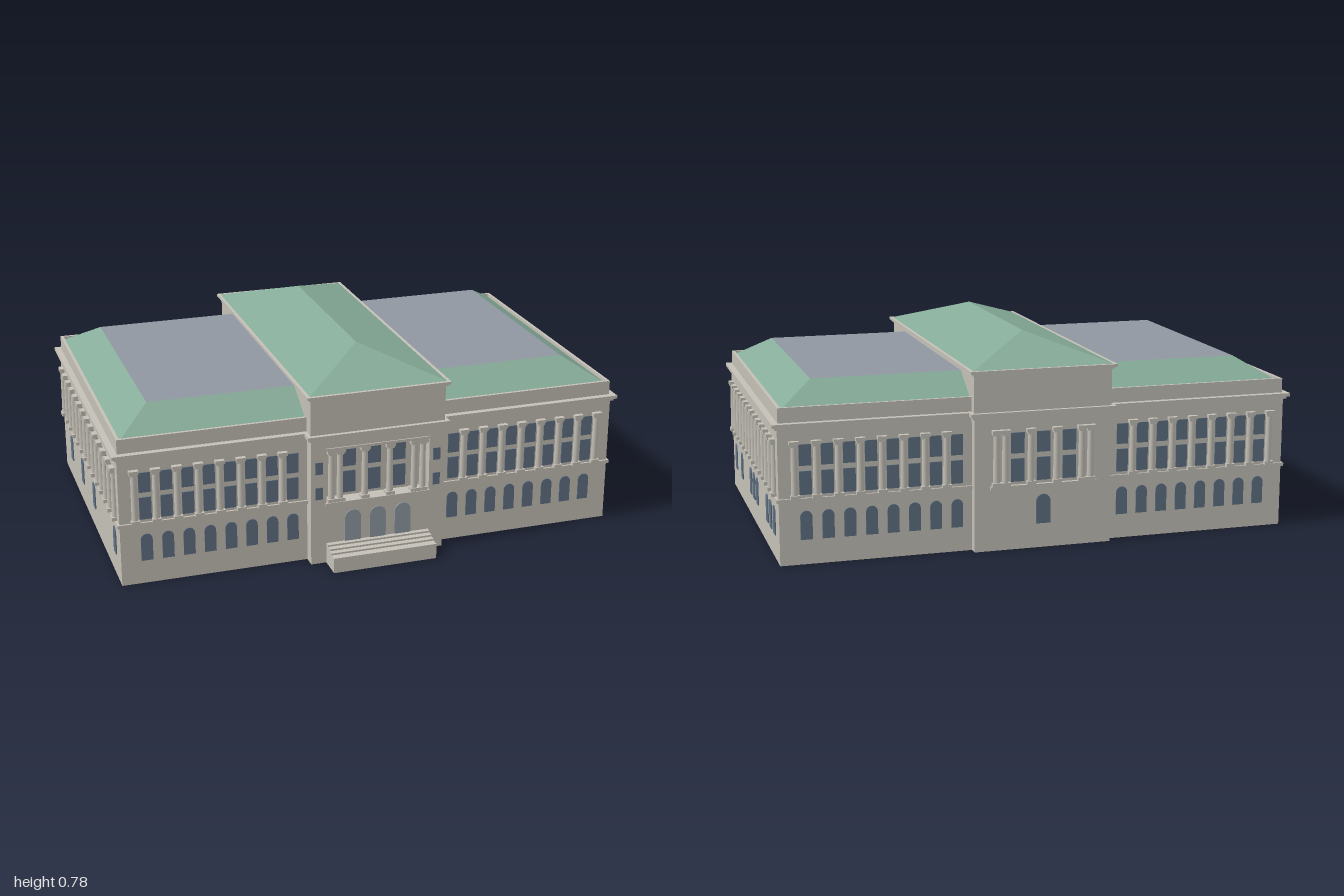
import * as THREE from 'three';

const mat = (name, color, side = THREE.FrontSide) => {
  const m = new THREE.MeshStandardMaterial({ color, side });
  m.name = name;
  return m;
};

export function createModel() {
  const model = new THREE.Group();
  model.name = 'building';
  const stone = mat('stone', 0xc4c0b7, THREE.DoubleSide);
  const green = mat('greenRoof', 0x86ab98, THREE.DoubleSide);
  const grey = mat('flatRoof', 0x9097a1, THREE.DoubleSide);
  const glass = mat('windowGlass', 0x5f7083);
  const door = mat('doorGlass', 0x8f9aa3);

  const add = (parent, name, geo, material, x = 0, y = 0, z = 0) => {
    const m = new THREE.Mesh(geo, material);
    m.name = name;
    m.position.set(x, y, z);
    parent.add(m);
    return m;
  };
  // Box given by its limits
  const box = (parent, name, x0, x1, y0, y1, z0, z1, material = stone) =>
    add(parent, name, new THREE.BoxGeometry(x1 - x0, y1 - y0, z1 - z0), material,
      (x0 + x1) / 2, (y0 + y1) / 2, (z0 + z1) / 2);

  const rect = (P, x0, x1, y0, y1) => {
    const p = new P();
    p.moveTo(x0, y0); p.lineTo(x1, y0); p.lineTo(x1, y1); p.lineTo(x0, y1); p.closePath();
    return p;
  };
  // Hollow rectangular band of thickness t, symmetric in x
  const ring = (name, x, z0, z1, y0, y1, t) => {
    const s = rect(THREE.Shape, -x, x, -z1, -z0);
    s.holes.push(rect(THREE.Path, -x + t, x - t, -z1 + t, -z0 - t));
    const g = new THREE.ExtrudeGeometry(s, { depth: y1 - y0, bevelEnabled: false });
    g.rotateX(-Math.PI / 2);
    return add(model, name, g, stone, 0, y0, 0);
  };
  // Four roof slopes between a lower and an upper rectangle [x, z0, z1, y]
  const slopes = (name, a, b) => {
    const loop = ([x, z0, z1, y]) => [-x, y, z1, x, y, z1, x, y, z0, -x, y, z0];
    const g = new THREE.BufferGeometry();
    g.setAttribute('position', new THREE.Float32BufferAttribute([...loop(a), ...loop(b)], 3));
    const idx = [];
    for (let i = 0; i < 4; i++) {
      const j = (i + 1) % 4;
      idx.push(i, j, 4 + j);
      if (b[0] > 0 || i % 2) idx.push(i, 4 + j, 4 + i);
    }
    g.setIndex(idx);
    const flat = g.toNonIndexed();
    flat.computeVertexNormals();
    add(model, name, flat, green);
  };

  // Wings: walls, string course, cornice, parapet and roof
  ring('wingWalls', 0.98, -0.648, 0.556, 0, 0.505, 0.012);
  ring('stringCourse', 0.988, -0.656, 0.564, 0.235, 0.248, 0.02);
  ring('corniceLower', 0.99, -0.658, 0.566, 0.502, 0.512, 0.03);
  ring('corniceUpper', 1.0, -0.668, 0.576, 0.512, 0.525, 0.04);
  ring('parapet', 0.976, -0.644, 0.552, 0.52, 0.58, 0.012);
  slopes('wingRoof', [0.968, -0.636, 0.544, 0.565], [0.83, -0.5, 0.4, 0.652]);
  const flatRoof = new THREE.PlaneGeometry(1.66, 0.9).rotateX(-Math.PI / 2);
  add(model, 'wingFlatRoof', flatRoof, grey, 0, 0.652, -0.05);

  // Central block: walls with a loggia opening in the front
  const cx = 0.265, zf = 0.605, zb = -0.682;
  for (const s of [-1, 1])
    box(model, 'centreSideWall', s * 0.26 - 0.005, s * 0.26 + 0.005, 0, 0.67, zb, zf);
  box(model, 'centreBackWall', -cx, cx, 0, 0.67, zb, zb + 0.01);
  const front = rect(THREE.Shape, -cx, cx, 0, 0.67);
  front.holes.push(rect(THREE.Path, -0.205, 0.205, 0.245, 0.46));
  add(model, 'centreFrontWall',
    new THREE.ExtrudeGeometry(front, { depth: 0.01, bevelEnabled: false }), stone, 0, 0, zf - 0.01);
  for (const s of [-1, 1])
    box(model, 'loggiaJamb', s * 0.21 - 0.005, s * 0.21 + 0.005, 0.24, 0.465, 0.55, zf - 0.002);
  box(model, 'loggiaFloor', -0.208, 0.208, 0.234, 0.248, 0.55, 0.613);
  box(model, 'loggiaLintel', -0.205, 0.205, 0.458, 0.468, 0.55, 0.61);
  ring('centreBandLower', 0.272, -0.69, 0.613, 0.502, 0.512, 0.016);
  ring('centreBandUpper', 0.28, -0.698, 0.621, 0.512, 0.525, 0.024);
  ring('centreCorniceLower', 0.273, -0.69, 0.613, 0.664, 0.672, 0.02);
  ring('centreCorniceUpper', 0.281, -0.698, 0.621, 0.672, 0.682, 0.03);
  slopes('centreRoof', [0.274, -0.691, 0.614, 0.68], [0, -0.41, 0.34, 0.777]);

  // Front steps
  [[0.7, 0.06], [0.67, 0.067], [0.648, 0.074], [0.625, 0.081]].forEach(([z, y], i) =>
    box(model, 'step', -0.205, 0.205, i ? y - 0.007 : 0, y, 0.6, z));

  // Facade frame: local x runs along the wall, local z points outward
  const facade = (name, x, z, turn) => {
    const g = new THREE.Group();
    g.name = name;
    g.position.set(x, 0, z);
    g.rotation.y = turn;
    model.add(g);
    return g;
  };
  const shaftGeo = new THREE.CylinderGeometry(0.011, 0.013, 0.19, 12);
  const column = (f, x, z = 0.003) => {
    add(f, 'columnShaft', shaftGeo, stone, x, 0.35, z);
    box(f, 'columnBase', x - 0.017, x + 0.017, 0.247, 0.261, z - 0.016, z + 0.016);
    box(f, 'columnNeck', x - 0.014, x + 0.014, 0.438, 0.446, z - 0.013, z + 0.013);
    box(f, 'columnCapital', x - 0.018, x + 0.018, 0.446, 0.459, z - 0.016, z + 0.016);
  };
  const upperWindows = (f, x, w = 0.045) => {
    box(f, 'lowerWindow', x - w / 2, x + w / 2, 0.26, 0.347, 0, 0.004, glass);
    box(f, 'upperWindow', x - w / 2, x + w / 2, 0.367, 0.445, 0, 0.004, glass);
  };
  const arch = (f, x, y0 = 0.093, y1 = 0.2, w = 0.044, m = glass) => {
    const s = new THREE.Shape(), r = w / 2;
    s.moveTo(-r, y0);
    s.lineTo(r, y0);
    s.absarc(0, y1 - r, r, 0, Math.PI, false);
    s.closePath();
    add(f, 'archedOpening',
      new THREE.ExtrudeGeometry(s, { depth: 0.004, bevelEnabled: false, curveSegments: 8 }), m, x, 0, 0);
  };

  // Front and back of the wings: eight bays each side
  for (const f of [facade('frontFacade', 0, 0.556, 0), facade('backFacade', 0, -0.648, Math.PI)])
    for (const s of [-1, 1])
      for (let i = 0; i < 8; i++) {
        column(f, s * (0.922 - 0.08 * i));
        upperWindows(f, s * (0.882 - 0.08 * i));
        arch(f, s * (0.882 - 0.08 * i));
      }

  // Side walls: thirteen bays, arched windows in some of them
  const pitch = 0.0836;
  const sides = [
    [facade('leftFacade', 0.98, 0, Math.PI / 2), 1, [0, 2, 5, 6, 7, 10, 11, 12]],
    [facade('rightFacade', -0.98, 0, -Math.PI / 2), -1, [0, 5, 8, 11]],
  ];
  for (const [f, s, arches] of sides) {
    for (let i = 0; i < 14; i++) column(f, s * (pitch * i - 0.5));
    for (let i = 0; i < 13; i++) upperWindows(f, s * (pitch * (i + 0.5) - 0.5));
    for (const i of arches) arch(f, s * (pitch * (i + 0.5) - 0.5));
  }

  // Centre front: loggia columns and windows, doors, small side windows
  const loggia = facade('loggia', 0, 0.556, 0);
  const entrance = facade('entrance', 0, zf, 0);
  const back = facade('centreBack', 0, zb, Math.PI);
  for (const x of [-0.182, -0.148, -0.05, 0.05, 0.148, 0.182]) {
    column(loggia, x, 0.038);
    column(back, x);
  }
  for (const x of [-0.1, 0, 0.1]) {
    upperWindows(loggia, x, 0.052);
    upperWindows(back, x, 0.052);
    arch(entrance, x, 0.078, 0.207, 0.064, door);
  }
  for (const x of [-0.234, 0.234])
    for (const y of [0.266, 0.368])
      box(entrance, 'smallWindow', x - 0.014, x + 0.014, y, y + 0.048, 0, 0.004, glass);
  box(back, 'backSill', -0.205, 0.205, 0.235, 0.248, 0, 0.014);
  arch(back, 0, 0.093, 0.205, 0.055);

  return model;
}
